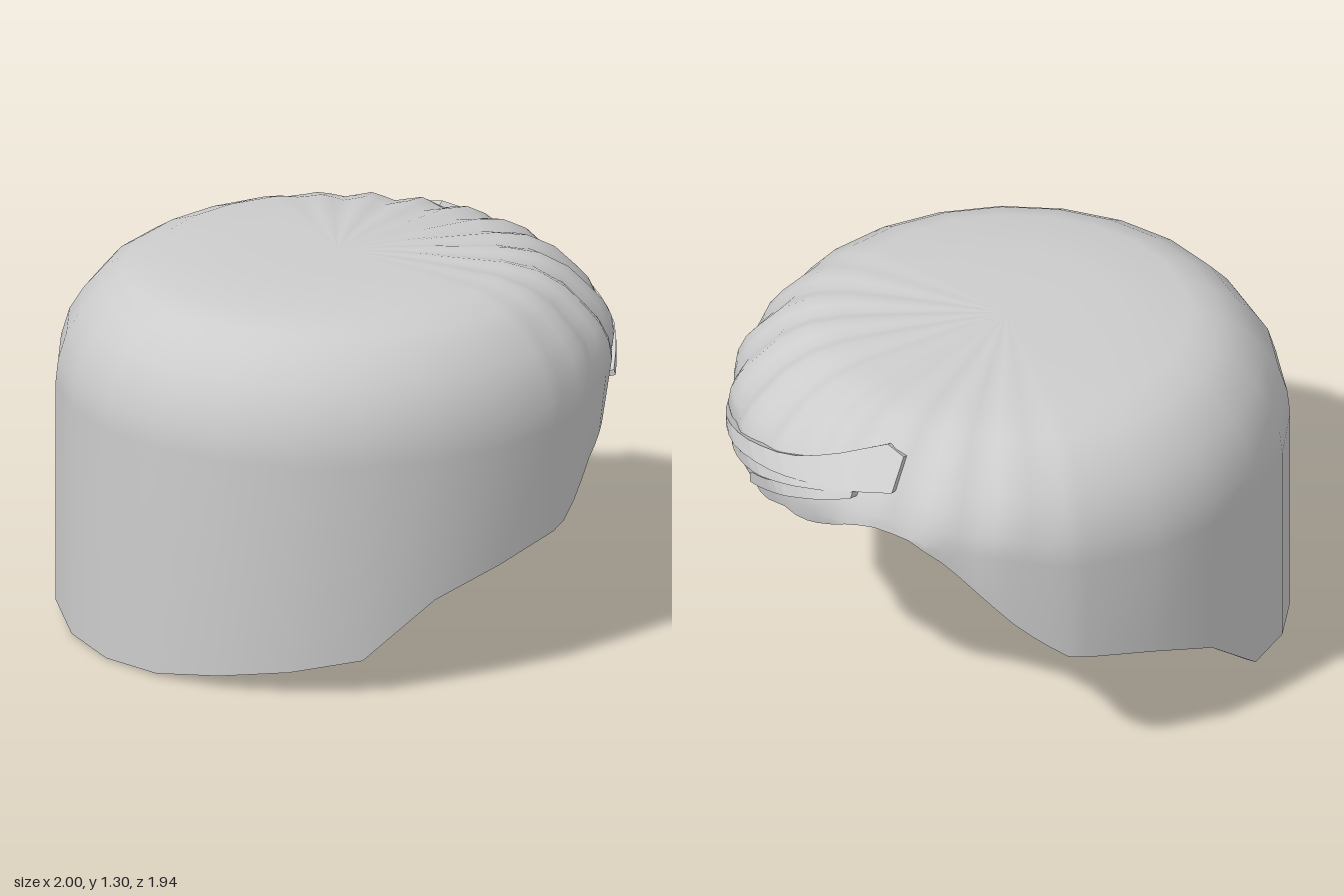
import * as THREE from 'three';

const { lerp, smoothstep, degToRad } = THREE.MathUtils;
const DEPTH = 0.97; // the plan is slightly narrower along z

// Side profiles [radius, height] from crown to lower edge
const BACK = [[0, 1.305], [0.2, 1.305], [0.4, 1.303], [0.65, 1.29], [0.76, 1.25], [0.84, 1.2], [0.91, 1.12], [0.96, 1.04], [0.99, 0.94], [1, 0.85], [1, 0]];
const FRONT = [[0, 1.305], [0.2, 1.305], [0.4, 1.3], [0.6, 1.29], [0.72, 1.265], [0.82, 1.21], [0.9, 1.13], [0.945, 1.08], [0.975, 1.02], [0.985, 0.96], [0.95, 0.82]];

// Lower edge [angle in degrees from +x towards +z, height]
const EDGE = [[-180, 0], [-164, 0.01], [-149, 0.05], [-135, 0.085], [-123, 0.1], [-117, 0.16], [-109, 0.28], [-103, 0.36],
  [-90, 0.43], [-71, 0.49], [-61, 0.62], [-46, 0.87], [-36, 0.96], [-29, 0.98], [-18, 0.91], [-9, 0.86], [-3, 0.87],
  [6, 0.81], [13, 0.84], [26, 0.79], [35, 0.79], [44, 0.76], [57, 0.69], [61, 0.66], [66, 0.57], [72, 0.49], [90, 0.42],
  [103, 0.36], [109, 0.28], [117, 0.16], [123, 0.1], [135, 0.085], [149, 0.05], [164, 0.01], [180, 0]];

// Linear lookup in a table of [key, value] with rising keys
function lookup(table, key) {
  if (key <= table[0][0]) return table[0][1];
  for (let i = 1; i < table.length; i++) {
    const [k0, v0] = table[i - 1], [k1, v1] = table[i];
    if (key <= k1) return lerp(v0, v1, (key - k0) / (k1 - k0 || 1));
  }
  return table[table.length - 1][1];
}

const frontness = (deg) => smoothstep(Math.cos(degToRad(deg)), 0.1, 0.85);

function profileAt(deg) {
  const w = frontness(deg);
  return BACK.map(([r, y], i) => [lerp(r, FRONT[i][0], w), lerp(y, FRONT[i][1], w)]);
}

function radiusAt(deg, y) {
  return lookup(profileAt(deg).map(([r, h]) => [h, r]).reverse(), y);
}

function place(deg, r, y) {
  const a = degToRad(deg);
  return [r * Math.cos(a), y, DEPTH * r * Math.sin(a)];
}

// One column of the shell, with combed grooves fanning out over the front
function column(deg, inset) {
  const bottom = lookup(EDGE, deg), profile = profileAt(deg), last = profile.length - 1;
  const groove = frontness(deg) * (1 - Math.cos(degToRad(deg) * 24)) / 2;
  return profile.map(([r0, y0], i) => {
    const y = i === last ? bottom : Math.max(y0, bottom + 0.02 * (last - i));
    const r = y === y0 ? r0 : radiusAt(deg, y);
    const ramp = smoothstep(r, 0.05, 0.6);
    const low = smoothstep(y, 0.8, 1.1);
    return place(deg,
      Math.max(0, r - 0.03 * groove * ramp * low - inset * Math.min(1, r * 2)),
      i === last ? y : y - 0.014 * groove * ramp - inset * smoothstep(y, 0.9, 1.25));
  });
}

function geometryFrom(points, index) {
  const g = new THREE.BufferGeometry();
  g.setAttribute('position', new THREE.Float32BufferAttribute(points.flat(), 3));
  g.setIndex(index);
  return g;
}

function skin(columns, inward) {
  const rows = columns[0].length, n = columns.length, index = [];
  for (let j = 0; j < n; j++) {
    for (let i = 0; i < rows - 1; i++) {
      const a = j * rows + i, d = ((j + 1) % n) * rows + i, b = a + 1, c = d + 1;
      const tris = i === 0 ? [[a, c, b]] : [[a, c, b], [a, d, c]];
      tris.forEach((t) => index.push(...(inward ? t.reverse() : t)));
    }
  }
  const g = geometryFrom(columns.flat(), index);
  g.computeVertexNormals();
  return g;
}

function flat(points, index) {
  const g = geometryFrom(points, index).toNonIndexed();
  g.computeVertexNormals();
  return g;
}

// Flat strip joining the outer and inner lower edges
function rim(outer, inner) {
  const n = outer.length, points = [], index = [];
  for (let j = 0; j < n; j++) {
    points.push(outer[j].at(-1), inner[j].at(-1));
    const o = 2 * j, p = 2 * ((j + 1) % n);
    index.push(o, p, o + 1, o + 1, p, p + 1);
  }
  return flat(points, index);
}

// Tapered lock lying on the shell; low and high are [angle, height] edges
function lock(start, end, low, high, lift) {
  const steps = 14, points = [], index = [];
  for (let s = 0; s <= steps; s++) {
    const deg = lerp(start, end, s / steps);
    const y0 = lookup(low, deg), y1 = lookup(high, deg);
    const r0 = radiusAt(deg, y0), r1 = radiusAt(deg, y1);
    points.push(place(deg, r0 - 0.03, y0 - 0.012), place(deg, r0 + lift, y0),
      place(deg, r1 + lift * 0.6, y1 + 0.006), place(deg, r1 - 0.03, y1 - 0.012));
    if (s === steps) continue;
    for (let k = 0; k < 4; k++) {
      const a = s * 4 + k, b = s * 4 + (k + 1) % 4;
      index.push(a, b, b + 4, a, b + 4, a + 4);
    }
  }
  const e = steps * 4;
  index.push(0, 2, 1, 0, 3, 2, e, e + 1, e + 2, e, e + 2, e + 3);
  return flat(points, index);
}

export function createModel() {
  const group = new THREE.Group();
  const grey = new THREE.MeshStandardMaterial({ color: 0xcccccc });
  grey.name = 'light grey';
  const add = (name, geometry) => {
    const mesh = new THREE.Mesh(geometry, grey);
    mesh.name = name;
    group.add(mesh);
  };

  // Coarse around the back, fine across the grooved front
  const angles = [];
  for (let a = -180; a < 180; a += a >= -75 && a < 75 ? 3.75 : 15) angles.push(a);
  const outer = angles.map((a) => column(a, 0));
  const inner = angles.map((a) => column(a, 0.04));
  add('outerShell', skin(outer, false));
  add('innerShell', skin(inner, true));
  add('lowerRim', rim(outer, inner));

  // Three swept locks across the front
  add('upperLock', lock(-33, 41,
    [[-33, 1.11], [-12, 1.05], [6, 0.99], [25, 0.92], [41, 0.865]],
    [[-33, 1.2], [-27, 1.22], [-16, 1.15], [-5, 1.085], [6, 1.04], [25, 0.955], [41, 0.88]], 0.022));
  add('middleLock', lock(-24, 27,
    [[-24, 1.08], [-12, 1.03], [6, 0.94], [27, 0.835]],
    [[-24, 1.1], [-12, 1.055], [6, 0.985], [27, 0.85]], 0.02));
  add('lowerLock', lock(-24, 10,
    [[-24, 1.06], [-8, 0.965], [10, 0.845]],
    [[-24, 1.09], [-8, 1.01], [8, 0.9], [10, 0.875]], 0.018));
  return group;
}
